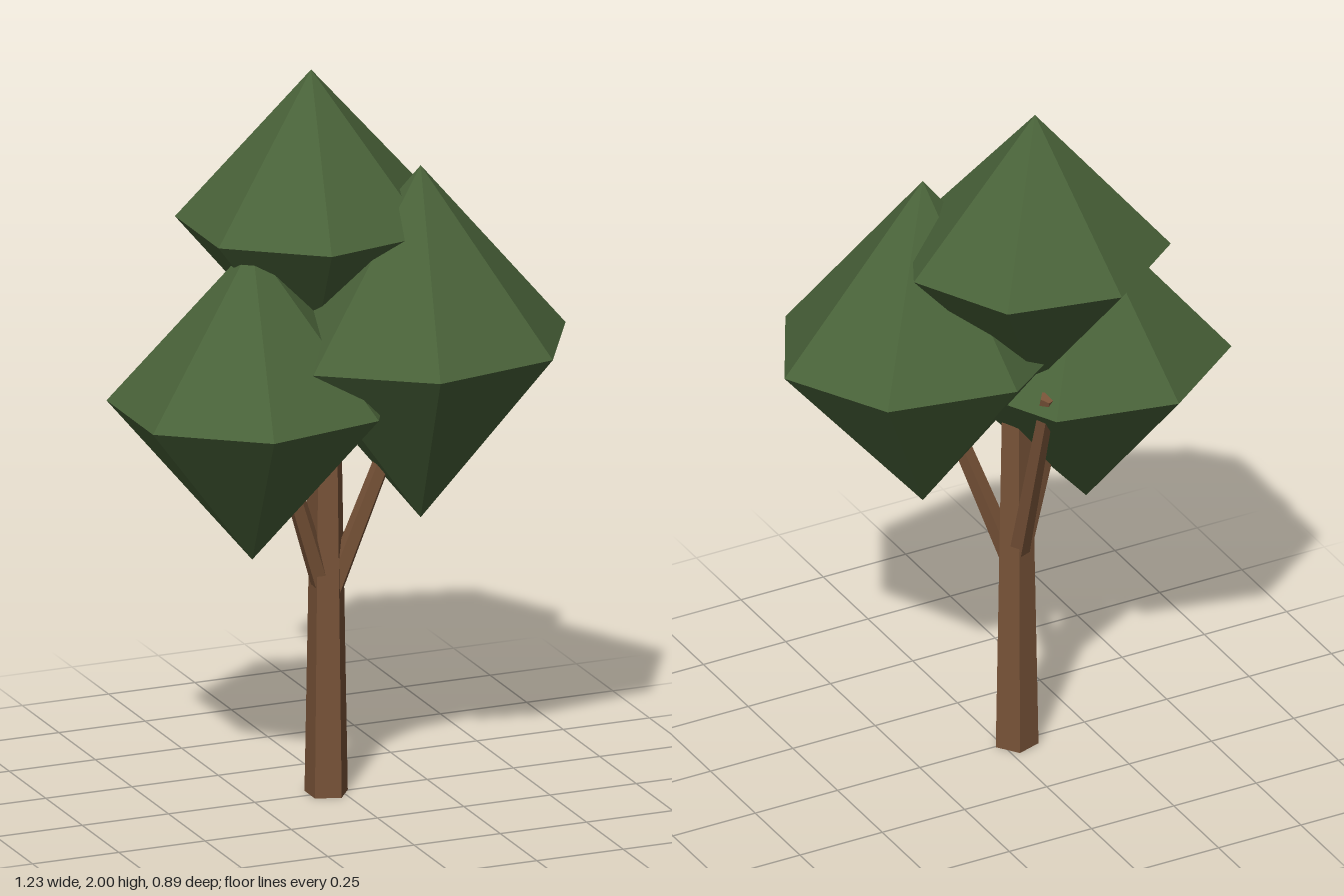
import * as THREE from 'three';

export function createModel() {
  const tree = new THREE.Group();
  tree.name = 'tree';

  const bark = new THREE.MeshStandardMaterial({ color: 0x785338, flatShading: true });
  bark.name = 'bark brown';
  const leaf = new THREE.MeshStandardMaterial({ color: 0x496239, flatShading: true });
  leaf.name = 'leaf green';

  const add = (name, geometry, material) => {
    const mesh = new THREE.Mesh(geometry, material);
    mesh.name = name;
    tree.add(mesh);
    return mesh;
  };

  // Tapered five-sided limb running from one point to another
  const limb = (name, from, to, r0, r1) => {
    const a = new THREE.Vector3(...from);
    const b = new THREE.Vector3(...to);
    const dir = b.clone().sub(a);
    const geometry = new THREE.CylinderGeometry(r1, r0, dir.length(), 5, 1, false, Math.PI / 2);
    const mesh = add(name, geometry, bark);
    mesh.position.copy(a).add(b).multiplyScalar(0.5);
    mesh.quaternion.setFromUnitVectors(new THREE.Vector3(0, 1, 0), dir.normalize());
  };

  // Trunk and the three branches that fork from it
  limb('trunk', [-0.04, 0, -0.003], [-0.04, 1.0, -0.003], 0.061, 0.043);
  limb('leftBranch', [-0.03, 0.57, 0.01], [0.16, 1.14, 0.1], 0.03, 0.022);
  limb('rightBranch', [-0.05, 0.57, 0.0], [-0.24, 1.14, 0.06], 0.03, 0.022);
  limb('backBranch', [-0.04, 0.57, -0.01], [-0.025, 1.18, -0.21], 0.03, 0.022);

  // Seven-sided double-pyramid crowns: centre and half sizes
  const crowns = [
    ['topCrown', [-0.04, 1.585, -0.11], [0.368, 0.415, 0.344]],
    ['leftCrown', [0.195, 1.265, 0.085], [0.42, 0.495, 0.366]],
    ['rightCrown', [-0.265, 1.135, 0.018], [0.394, 0.445, 0.367]],
  ];
  for (const [name, centre, size] of crowns) {
    const crown = add(name, new THREE.SphereGeometry(1, 7, 2, Math.PI), leaf);
    crown.position.set(...centre);
    crown.scale.set(...size);
  }

  return tree;
}
